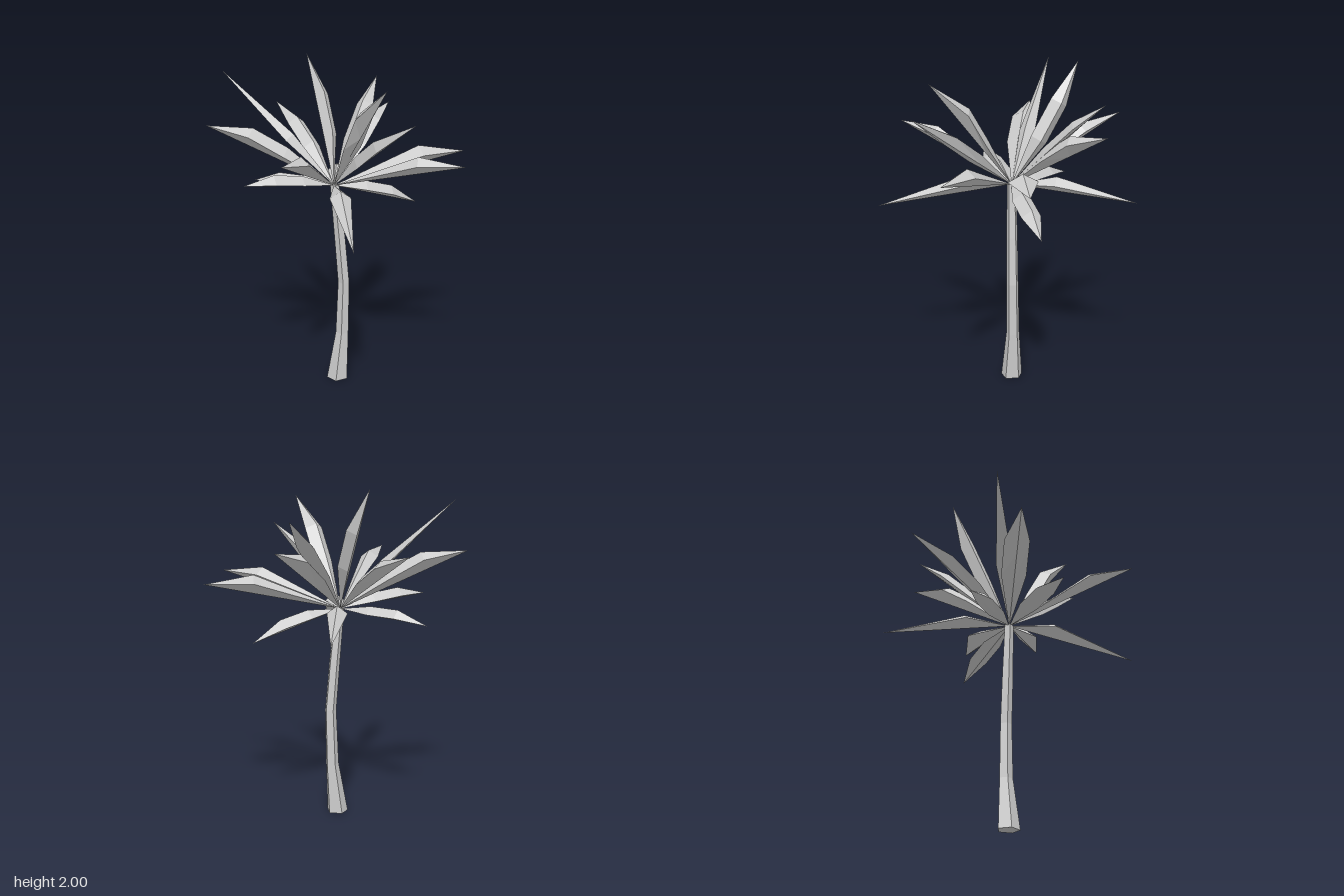
import * as THREE from 'three';

const CROWN = new THREE.Vector3(-0.065, 1.275, -0.025);

// Flat-shaded skin over a row of closed rings with equal point counts
function skin(rings) {
  const pos = [];
  const n = rings[0].length;
  for (let i = 0; i < rings.length - 1; i++) {
    for (let j = 0; j < n; j++) {
      const k = (j + 1) % n;
      const a = rings[i][j], b = rings[i][k], c = rings[i + 1][k], d = rings[i + 1][j];
      for (const t of [[a, b, c], [a, c, d]]) {
        const area = new THREE.Triangle(...t).getArea();
        if (area > 1e-8) t.forEach((p) => pos.push(p.x, p.y, p.z));
      }
    }
  }
  const geo = new THREE.BufferGeometry();
  geo.setAttribute('position', new THREE.Float32BufferAttribute(pos, 3));
  geo.computeVertexNormals();
  return geo;
}

// Frond: diamond-section blade with an arched ridge and a straight keel from crown to tip.
// Each section is [fraction along, lift of the ridge]; roll twists the blade about its length
function frondGeometry(tip, halfWidth, sections, roll) {
  const span = tip.clone().sub(CROWN);
  const axis = span.clone().normalize();
  const side = new THREE.Vector3(-span.z, 0, span.x).normalize();
  const up = side.clone().cross(axis).applyAxisAngle(axis, roll);
  const rise = new THREE.Vector3(0, 1, 0).applyAxisAngle(axis, roll);
  side.applyAxisAngle(axis, roll);
  const rings = [Array(4).fill(CROWN)];
  for (const [t, lift] of sections) {
    const keel = CROWN.clone().addScaledVector(span, t);
    const ridge = keel.clone().addScaledVector(rise, lift);
    const edge = (s) => ridge.clone().addScaledVector(side, s * halfWidth).addScaledVector(up, -0.045);
    rings.push([edge(-1), ridge, edge(1), keel]);
  }
  rings.push(Array(4).fill(tip));
  return skin(rings);
}

// tip x, y, z, half width, sections, roll
const FRONDS = [
  [-0.16, 1.65, -0.76, 0.055, [[0.34, 0.09], [0.61, 0.10]]],
  [0.27, 1.19, -0.71, 0.06, [[0.36, 0.09]]],
  [0.40, 1.83, -0.43, 0.055, [[0.35, 0.06], [0.66, 0.07]]],
  [0.48, 1.66, -0.415, 0.065, [[0.36, 0.10], [0.62, 0.12]]],
  [0.49, 1.10, -0.03, 0.06, [[0.38, 0.07], [0.69, 0.075]]],
  [0.735, 1.44, 0.12, 0.085, [[0.64, 0.11]]],
  [0.50, 1.47, 0.545, 0.06, [[0.65, 0.10]]],
  [0.14, 1.76, 0.62, 0.05, [[0.32, 0.08], [0.56, 0.09]], 0.7],
  [0.03, 1.93, 0.49, 0.06, [[0.30, 0.10], [0.52, 0.15]]],
  [-0.28, 1.145, 0.755, 0.062, [[0.36, 0.10]]],
  [-0.595, 1.59, 0.535, 0.058, [[0.65, 0.10]]],
  [-0.635, 1.34, -0.01, 0.062, [[0.36, 0.06], [0.67, 0.065]]],
  [-0.74, 1.63, -0.36, 0.075, [[0.36, 0.10], [0.63, 0.12]]],
  [-0.61, 1.94, -0.445, 0.05, [[0.36, 0.06]]],
  [-0.41, 1.22, -0.495, 0.05, [[0.36, 0.05], [0.67, 0.06]]],
  [-0.07, 2.0, -0.44, 0.055, [[0.2, 0.17], [0.5, 0.17]], Math.PI / 2],
];

// Trunk levels: height, centre x, centre z, radius
const TRUNK = [
  [0, -0.048, -0.022, 0.066],
  [0.31, -0.015, -0.019, 0.041],
  [0.65, -0.006, -0.014, 0.036],
  [0.95, -0.03, -0.018, 0.034],
  [1.28, -0.06, -0.025, 0.028],
];

// Five-sided trunk bending through its levels
function trunkGeometry() {
  const ring = ([y, x, z, r]) => Array.from({ length: 5 }, (_, i) => {
    const a = 0.87 - i * Math.PI * 0.4;
    return new THREE.Vector3(x + r * Math.cos(a), y, z + r * 1.05 * Math.sin(a));
  });
  const cap = ([y, x, z]) => Array(5).fill(new THREE.Vector3(x, y, z));
  return skin([cap(TRUNK[0]), ...TRUNK.map(ring), cap(TRUNK[TRUNK.length - 1])]);
}

export function createModel() {
  const model = new THREE.Group();
  model.name = 'palmTree';
  const material = new THREE.MeshStandardMaterial({ color: 0xcccccc, flatShading: true });

  const trunk = new THREE.Mesh(trunkGeometry(), material);
  trunk.name = 'trunk';
  model.add(trunk);

  const crown = new THREE.Group();
  crown.name = 'crown';
  FRONDS.forEach(([x, y, z, width, sections, roll = 0], i) => {
    const tip = new THREE.Vector3(x, y, z);
    const frond = new THREE.Mesh(frondGeometry(tip, width, sections, roll), material);
    frond.name = `frond${i + 1}`;
    crown.add(frond);
  });
  model.add(crown);
  return model;
}
